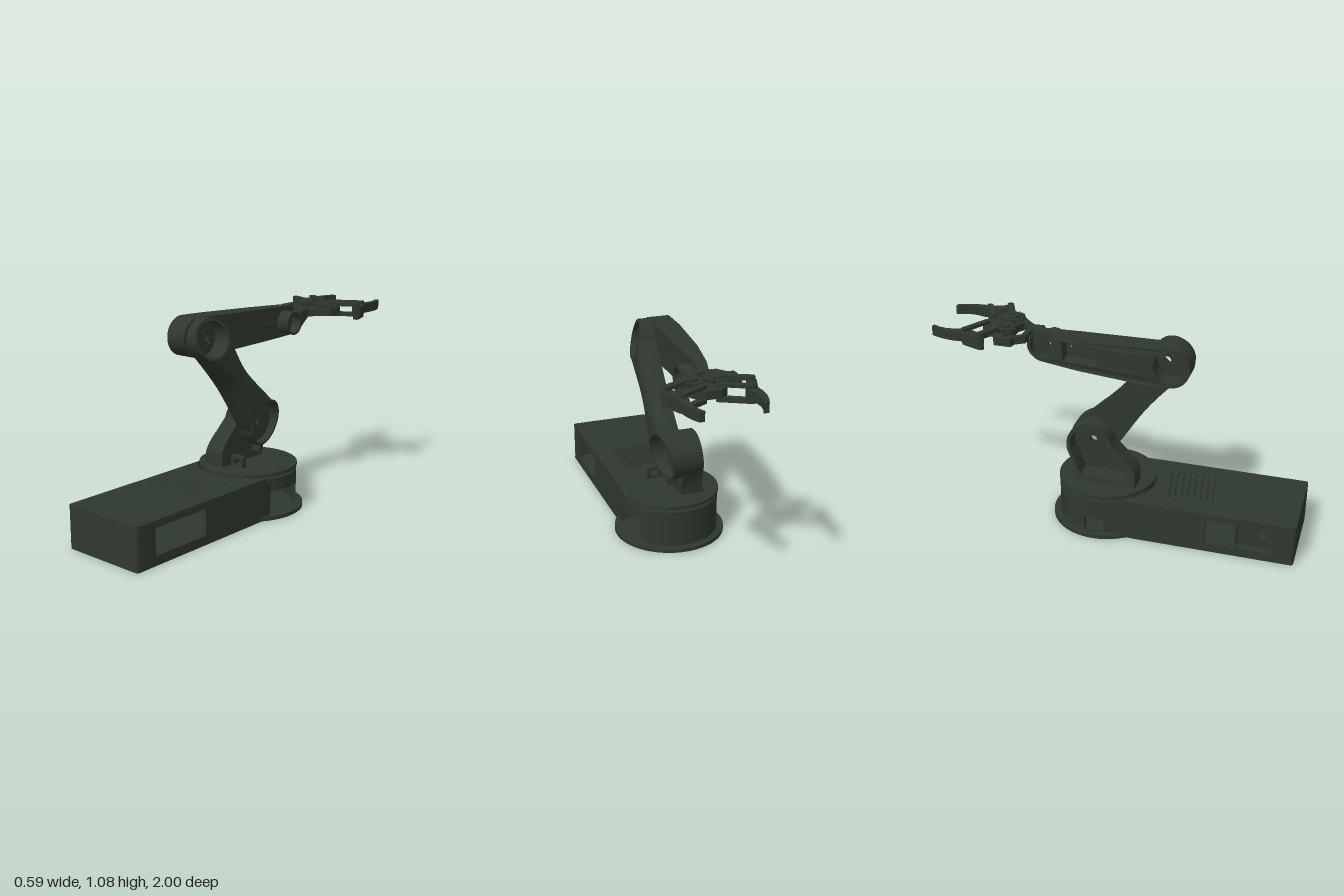
import * as THREE from 'three';
import { toCreasedNormals } from 'three/addons/utils/BufferGeometryUtils.js';

const plastic = new THREE.MeshStandardMaterial({ color: 0x2f382e, side: THREE.DoubleSide });
const { lerp, clamp } = THREE.MathUtils;

export function createModel() {
  const model = new THREE.Group();

  const add = (name, geometry) => {
    const mesh = new THREE.Mesh(toCreasedNormals(geometry, 0.6), plastic);
    mesh.name = name;
    model.add(mesh);
    return mesh;
  };
  const poly = (pts) => new THREE.Shape(pts.map((p) => new THREE.Vector2(p[0], p[1])));
  const circle = (x, y, r) => new THREE.Shape().absarc(x, y, r, 0, Math.PI * 2);
  const rect = (x0, x1, y0, y1) => poly([[x0, y0], [x1, y0], [x1, y1], [x0, y1]]);
  const pierce = (shape, ...holes) => { shape.holes.push(...holes); return shape; };
  const extrude = (shape, depth) =>
    new THREE.ExtrudeGeometry(shape, { depth, bevelEnabled: false, curveSegments: 32 });
  // side profile drawn as (z, y), spanning x0..x1
  const sideways = (shape, x0, x1) => extrude(shape, x1 - x0).rotateY(-Math.PI / 2).translate(x1, 0, 0);
  // plan drawn as (x, -z), spanning y0..y1
  const slab = (shape, y0, y1) => extrude(shape, y1 - y0).rotateX(-Math.PI / 2).translate(0, y0, 0);
  const plan = (pts) => poly(pts.map(([x, z]) => [x, -z]));
  const cylinder = (r, x, z, y0, y1) => slab(circle(x, -z, r), y0, y1);
  const warp = (geometry, rule) => {
    const p = geometry.attributes.position;
    for (let i = 0; i < p.count; i++) p.setX(i, rule(p.getX(i), p.getY(i), p.getZ(i)));
    return geometry;
  };
  // pivot bore with two small screw holes beside it
  const bores = (z, y, r = 0.021) => [circle(z, y, r), circle(z + 0.024, y + 0.03, 0.008), circle(z - 0.024, y - 0.03, 0.008)];

  // ---- electronics box
  const drumZ = -0.075;
  add('boxFloor', slab(plan([[-0.24, 0], [0.24, 0], [0.24, 0.99], [-0.24, 0.99]]), 0, 0.015));
  const front = new THREE.Shape();
  front.moveTo(-0.24, -0.95);
  front.lineTo(-0.24, -0.98);
  front.quadraticCurveTo(-0.24, -1, -0.22, -1);
  front.lineTo(0.22, -1);
  front.quadraticCurveTo(0.24, -1, 0.24, -0.98);
  [[0.24, -0.95], [0.22, -0.95], [0.22, -0.98], [-0.22, -0.98], [-0.22, -0.95]].forEach((p) => front.lineTo(...p));
  add('boxFrontWall', slab(front, 0, 0.212));
  for (const s of [-1, 1]) {
    const wall = pierce(rect(0.03, 0.95, 0, 0.212), rect(0.53, 0.88, 0.05, 0.19));
    add('boxSideWall', sideways(wall, s * 0.23 - 0.01, s * 0.23 + 0.01));
  }
  const socket = pierce(rect(0.69, 0.9, 0.04, 0.2), circle(0.825, 0.112, 0.026), circle(0.89, 0.118, 0.007));
  add('socketPanel', sideways(socket, -0.185, -0.17));
  add('socketPanelEnd', new THREE.BoxGeometry(0.05, 0.16, 0.01).translate(-0.2, 0.12, 0.69));

  // lid with a curved back edge and slanted vents
  const lid = new THREE.Shape();
  const a = Math.acos(0.24 / 0.275);
  lid.moveTo(-0.24, -0.98);
  lid.quadraticCurveTo(-0.24, -1, -0.22, -1);
  lid.lineTo(0.22, -1);
  lid.quadraticCurveTo(0.24, -1, 0.24, -0.98);
  lid.absarc(0, 0.07, 0.275, -a, -Math.PI + a, true);
  for (let i = 0; i < 8; i++) {
    const z = 0.305 + i * 0.034;
    lid.holes.push(plan([[-0.145, z], [0.145, z - 0.045], [0.145, z - 0.034], [-0.145, z + 0.011]]));
  }
  add('lid', slab(lid, 0.212, 0.228));
  for (const [x, z] of [[-0.205, 0.92], [0.21, 0.92], [0.21, 0.195], [-0.205, 0.37]])
    add('lidScrew', cylinder(0.014, x, z, 0.22, 0.232));

  // ---- round base
  add('baseFlange', cylinder(0.297, 0, drumZ, 0, 0.02));
  const arcWall = (a0, a1, y0, y1) => {
    const ring = new THREE.Shape();
    ring.absarc(0, -drumZ, 0.26, a0, a1, false);
    ring.absarc(0, -drumZ, 0.24, a1, a0, true);
    add('drumWall', slab(ring, y0, y1));
  };
  const open = 0.62, gap = 0.2, turn = Math.PI * 2;
  arcWall(open, turn - open, 0.015, 0.03);
  arcWall(open, Math.PI - gap, 0.03, 0.1);
  arcWall(Math.PI + gap, turn - open, 0.03, 0.1);
  arcWall(open, turn - open, 0.1, 0.145);
  arcWall(0, turn, 0.145, 0.215);
  add('drumCap', cylinder(0.255, 0, drumZ, 0.2, 0.217));
  add('turntable', cylinder(0.267, 0, -0.07, 0.231, 0.25));
  for (const [x, z] of [[-0.22, -0.07], [0.22, -0.08], [0.1, 0.12], [-0.1, -0.27], [0.1, -0.27]])
    add('turntableScrew', cylinder(0.014, x, z, 0.245, 0.254));

  // ---- shoulder bracket, open on its right
  const A = { z: -0.142, y: 0.46, r: 0.13 };
  const shoulder = () => {
    const s = new THREE.Shape();
    s.moveTo(-0.21, 0.25);
    s.lineTo(0.12, 0.25);
    s.lineTo(0.12, 0.32);
    s.quadraticCurveTo(0.105, 0.37, 0.05, 0.415);
    s.absarc(A.z, A.y, 0.125, 0.2, Math.PI + 0.55, false);
    s.lineTo(-0.21, 0.31);
    return s;
  };
  const cavity = new THREE.Shape();
  cavity.moveTo(-0.185, 0.29);
  cavity.lineTo(0.07, 0.29);
  cavity.lineTo(0.07, 0.34);
  cavity.absarc(A.z, A.y, 0.105, 0.1, Math.PI + 0.55, false);
  add('shoulderShell', warp(sideways(pierce(shoulder(), cavity), -0.12, -0.03),
    (x, y) => (x < -0.1 ? -0.116 - 0.03 * ((0.585 - y) / 0.335) ** 1.6 : x)));
  add('shoulderPlate', sideways(pierce(shoulder(), ...bores(A.z, A.y)), -0.036, -0.021));
  // cable clips
  add('cableClip', extrude(pierce(rect(0, 0.08, 0.25, 0.312), rect(0.018, 0.062, 0.265, 0.295)), 0.03).translate(0, 0, 0.04));
  add('cableHook', new THREE.BoxGeometry(0.06, 0.045, 0.03).translate(0.005, 0.315, -0.14));

  // ---- upper arm: two slanted cups joined by a rounded shaft
  const B = { z: 0.28, y: 0.977, r: 0.107 };
  const L = Math.hypot(B.z - A.z, B.y - A.y);
  const dz = (B.z - A.z) / L, dy = (B.y - A.y) / L;
  for (const [c, s, pz] of [[A, 1, A.z], [B, -1, 0.258]]) {
    const ring = pierce(circle(c.z, c.y, c.r), circle(c.z, c.y, c.r - 0.014));
    add('upperArmCup', warp(sideways(ring, -0.018, 0.094), (x, y, z) => {
      const u = s * ((z - c.z) * dz + (y - c.y) * dy);
      return x > 0 ? lerp(0.036, 0.094, clamp((u + c.r) / (1.85 * c.r), 0, 1)) : x;
    }));
    add('upperArmPivot', sideways(pierce(circle(c.z, c.y, c.r - 0.005), ...bores(pz, c.y)), -0.018, -0.004));
  }
  const NU = 20, NV = 25, pos = [], index = [];
  for (let i = 0; i <= NU; i++) {
    const t = i / NU, bow = Math.sin(Math.PI * t);
    const w = lerp(0.12, 0.1, t) - 0.022 * bow, n = lerp(5, 2.6, bow);
    for (let j = 0; j < NV; j++) {
      const th = -Math.PI / 2 + (Math.PI * j) / (NV - 1), sn = Math.sin(th);
      const v = w * Math.sign(sn) * Math.abs(sn) ** (2 / n);
      const x = -0.018 + 0.111 * Math.max(Math.cos(th), 0) ** (2 / n);
      const u = lerp(Math.sqrt(0.123 ** 2 - v * v), L - Math.sqrt(Math.max(0.101 ** 2 - v * v, 0)), t);
      pos.push(x, A.y + u * dy + v * dz, A.z + u * dz - v * dy);
      if (i < NU) {
        const p = i * NV + j, q = i * NV + ((j + 1) % NV);
        index.push(p, q, p + NV, q, q + NV, p + NV);
      }
    }
  }
  const shaft = new THREE.BufferGeometry();
  shaft.setAttribute('position', new THREE.Float32BufferAttribute(pos, 3));
  shaft.setIndex(index);
  add('upperArmShaft', shaft);

  // ---- forearm, narrowing to the wrist
  const forearm = () => {
    const s = new THREE.Shape();
    s.moveTo(-0.412, 0.897);
    s.lineTo(-0.2, 0.889);
    s.lineTo(0.14, 0.876);
    s.absarc(0.296, 0.979, 0.104, -Math.PI / 2, Math.PI / 2, false);
    s.lineTo(0.14, 1.078);
    s.lineTo(-0.2, 1.068);
    s.absarc(-0.412, 0.98, 0.083, Math.PI / 2, Math.PI * 1.5, false);
    return s;
  };
  const taper = (x, y, z) => {
    const k = clamp((0.14 - z) / 0.34, 0, 1), m = clamp((-0.2 - z) / 0.26, 0, 1);
    return lerp(lerp(-0.138, -0.105, k) + 0.05 * m, lerp(-0.021, -0.002, k), x);
  };
  const hollow = [circle(0.296, 0.979, 0.088), rect(-0.29, 0.1, 0.925, 1.035), circle(-0.412, 0.98, 0.066)];
  add('forearmShell', warp(sideways(pierce(forearm(), ...hollow), 0, 0.9), taper));
  const plateHoles = [...bores(0.258, 0.98), circle(-0.265, 0.98, 0.006), circle(-0.378, 0.976, 0.016)];
  add('forearmPlate', warp(sideways(pierce(forearm(), ...plateHoles), 0.86, 1), taper));
  add('forearmWeb', warp(sideways(rect(-0.1, 0.1, 0.915, 1.045), 0.15, 0.88), taper));

  // ---- wrist mount
  add('wristCup', sideways(pierce(circle(-0.378, 0.976, 0.064), circle(-0.378, 0.976, 0.052)), 0, 0.072));
  add('wristPivot', sideways(pierce(circle(-0.378, 0.976, 0.06), circle(-0.378, 0.976, 0.016)), 0, 0.014));
  add('wristNeck', sideways(poly([[-0.52, 1.04], [-0.43, 1.032], [-0.43, 0.945], [-0.5, 1], [-0.52, 1]]), 0.01, 0.072));

  // ---- gripper
  const bracket = plan([[-0.155, -0.64], [-0.08, -0.64], [-0.04, -0.735], [0, -0.765], [0.08, -0.765], [0.12, -0.735],
    [0.17, -0.65], [0.165, -0.59], [0.1, -0.53], [0.075, -0.5], [0.075, -0.44], [0.01, -0.44], [0.01, -0.485],
    [-0.085, -0.49], [-0.12, -0.54], [-0.155, -0.545]]);
  bracket.holes.push(plan([[-0.12, -0.6], [-0.085, -0.6], [-0.06, -0.575], [0.04, -0.58], [0.075, -0.56],
    [0.04, -0.515], [-0.07, -0.515], [-0.1, -0.55]]));
  add('gripperBracket', slab(bracket, 1, 1.042));
  const link = (name, [x0, z0], [x1, z1], r, y0, y1) => {
    const ang = Math.atan2(z0 - z1, x1 - x0);
    const s = new THREE.Shape();
    s.absarc(x1, -z1, r, ang - Math.PI / 2, ang + Math.PI / 2, false);
    s.absarc(x0, -z0, r, ang + Math.PI / 2, ang + Math.PI * 1.5, false);
    add(name, slab(pierce(s, circle(x0, -z0, 0.007), circle(x1, -z1, 0.007)), y0, y1));
  };
  for (const s of [-1, 1]) {
    const at = (d, z) => [0.04 + s * d, z];
    const [gx, gz] = at(0.068, -0.635);
    const teeth = [];
    for (let i = 0; i < 80; i++) {
      const t = ((i + (s > 0 ? 2 : 0)) / 80) * turn, r = i % 4 < 2 ? 0.068 : 0.057;
      teeth.push([gx + r * Math.cos(t), gz + r * Math.sin(t)]);
    }
    add('gripperGear', slab(pierce(plan(teeth), circle(gx, -gz, 0.009)), 1.042, 1.06));
    add('gearHub', slab(pierce(circle(gx, -gz, 0.04), circle(gx, -gz, 0.009)), 1.06, 1.07));
    link('driveLink', [gx, gz], at(0.212, -0.705), 0.018, 1.05, 1.068);
    link('guideLink', at(0.04, -0.738), at(0.173, -0.81), 0.016, 1.05, 1.066);
    link('lowerLink', at(0.04, -0.738), at(0.173, -0.81), 0.016, 0.977, 1);
    link('jointBar', at(0.173, -0.81), at(0.212, -0.705), 0.016, 0.977, 1);
    const finger = plan([[0.138, -1], [0.165, -1], [0.182, -0.96], [0.195, -0.91], [0.2, -0.86], [0.198, -0.81],
      [0.236, -0.71], [0.22, -0.685], [0.19, -0.695], [0.145, -0.79], [0.148, -0.84], [0.16, -0.88],
      [0.163, -0.92], [0.155, -0.96]].map(([d, z]) => at(d, z)));
    add('finger', slab(finger, 1, 1.05));
  }
  return model;
}
